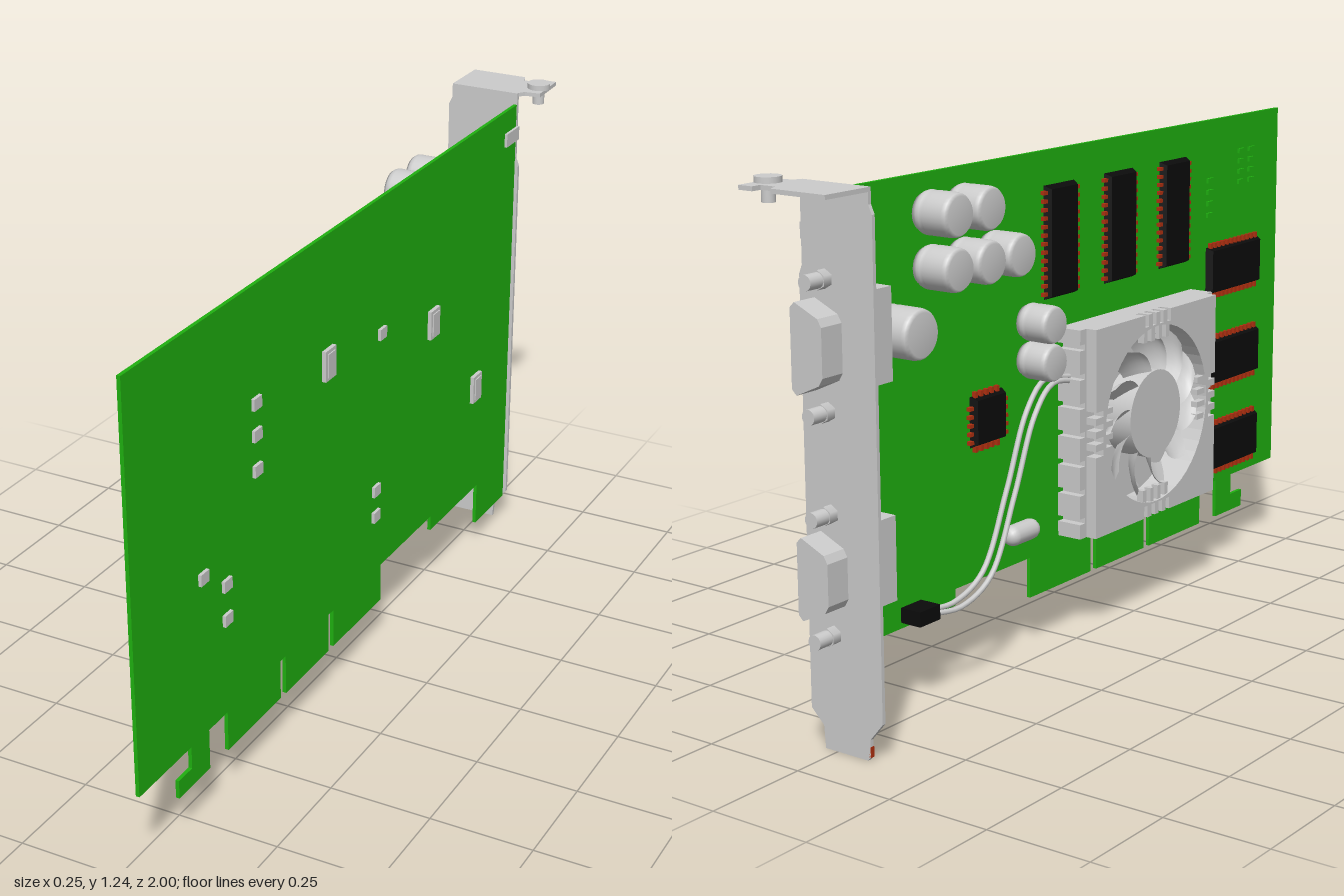
import * as THREE from 'three';
import { mergeGeometries } from 'three/addons/utils/BufferGeometryUtils.js';

const mat = (color = 0xcccccc) => new THREE.MeshStandardMaterial({ color, side: THREE.DoubleSide });
const grey = mat(), green = mat(0x1fb010), black = mat(0x0b0b0b), red = mat(0xb03010);

const box = (x, y, z, w, h, d) => new THREE.BoxGeometry(w, h, d).translate(x, y, z);

// Extrude a (z, y) outline along x, from x0 to x1
function slab(points, x0, x1, holes = []) {
  const shape = new THREE.Shape(points.map(([z, y]) => new THREE.Vector2(-z, y)));
  for (const [z, y, r] of holes) shape.holes.push(new THREE.Path().absarc(-z, y, r, 0, Math.PI * 2, true));
  return new THREE.ExtrudeGeometry(shape, { depth: x1 - x0, bevelEnabled: false, curveSegments: 24 })
    .rotateY(Math.PI / 2).translate(x0, 0, 0);
}

// Extrude an (x, y) outline along z, from z0 to z1
function plate(points, z0, z1) {
  const shape = new THREE.Shape(points.map(([x, y]) => new THREE.Vector2(x, y)));
  return new THREE.ExtrudeGeometry(shape, { depth: z1 - z0, bevelEnabled: false }).translate(0, 0, z0);
}

// Rectangle centred at (cz, cy) with slots cut into its edges
function notched(cz, cy, hw, hh, sides, ends, width, depth) {
  const half = [[hw, -hh]];
  for (const v of sides) half.push([hw, v - width / 2], [hw - depth, v - width / 2], [hw - depth, v + width / 2], [hw, v + width / 2]);
  half.push([hw, hh]);
  for (const v of ends) half.push([-v + width / 2, hh], [-v + width / 2, hh - depth], [-v - width / 2, hh - depth], [-v - width / 2, hh]);
  return [...half, ...half.map(([a, b]) => [-a, -b])].map(([a, b]) => [cz + a, cy + b]);
}

export function createModel() {
  const model = new THREE.Group();
  const add = (name, geometry, material = grey, parent = model) => {
    const mesh = new THREE.Mesh(geometry, material);
    mesh.name = name;
    parent.add(mesh);
    return mesh;
  };
  const group = (name) => {
    const g = new THREE.Group();
    g.name = name;
    model.add(g);
    return g;
  };

  // Circuit board with edge connector fingers
  add('circuitBoard', slab([
    [1, 1.195], [1, 0.225], [0.79, 0.225], [0.79, 0.17], [0.845, 0.17], [0.845, 0.125], [0.715, 0.125], [0.715, 0.225],
    [0.635, 0.225], [0.635, 0.125], [0.395, 0.125], [0.395, 0.225], [0.37, 0.225], [0.37, 0.125], [0.16, 0.125],
    [0.16, 0.225], [0.135, 0.225], [0.135, 0.125], [-0.115, 0.125], [-0.115, 0.225], [-0.4, 0.225], [-0.4, 0.185],
    [-0.685, 0.185], [-0.685, 0.07], [-0.865, 0.07], [-0.865, 1.195],
  ], 0.054, 0.063), green);

  // Chips: bevelled black body with rows of pins on the long sides
  function chip(name, z, y, w, h) {
    const g = group(name);
    const body = box(0, 0, 0, 0.018, h, w), p = body.attributes.position;
    for (let i = 0; i < p.count; i++) {
      if (p.getX(i) < 0) p.setXYZ(i, p.getX(i), p.getY(i) * (1 - 0.016 / h), p.getZ(i) * (1 - 0.016 / w));
    }
    body.computeVertexNormals();
    add('chipBody', body.translate(0.045, y, z), black, g);
    const pins = [], square = w === h;
    for (const s of [-1, 1]) {
      if (h >= w) for (let a = -h / 2 + 0.014; a < h / 2 - 0.008; a += 0.02) pins.push(box(0.049, y + a, z + s * (w / 2 + 0.004), 0.01, 0.009, 0.014));
      if (w > h || square) for (let a = -w / 2 + 0.014; a < w / 2 - 0.008; a += 0.02) pins.push(box(0.049, y + s * (h / 2 + 0.004), z + a, 0.01, 0.014, 0.009));
    }
    add('chipPins', mergeGeometries(pins), red, g);
  }
  for (const z of [0.005, 0.25, 0.49]) chip('uprightMemoryChip', z, 0.978, 0.12, 0.27);
  for (const y of [0.802, 0.557, 0.323]) chip('flatMemoryChip', 0.775, y, 0.25, 0.125);
  chip('controllerChip', -0.28, 0.605, 0.12, 0.12);

  // Can capacitors standing out from the board
  function capacitor(z, y, r, top) {
    const L = 0.054 - top;
    const profile = [[0, 0], [r * 0.85, 0], [r * 0.85, 0.007], [r * 0.95, 0.009], [r, 0.016], [r, 0.024], [r * 0.95, 0.029],
      [r, 0.034], [r, L - 0.016], [r * 0.96, L - 0.007], [r * 0.85, L], [0, L]];
    add('capacitor', new THREE.LatheGeometry(profile.map(([a, b]) => new THREE.Vector2(a, b)), 28)
      .rotateZ(Math.PI / 2).translate(0.054, y, z));
  }
  for (const [z, y] of [[-0.49, 1.11], [-0.375, 1.11], [-0.49, 0.99], [-0.375, 0.99], [-0.265, 0.99]]) capacitor(z, y, 0.05, -0.047);
  capacitor(-0.635, 0.875, 0.057, -0.058);
  for (const y of [0.805, 0.715]) capacitor(-0.125, y, 0.045, -0.035);

  // Heat sink: slotted base, open cover and floor
  const cz = 0.262, cy = 0.519, hub = [cz, cy, 0.222];
  const sink = group('heatSink');
  const teeth = [-3, -2, -1, 0, 1, 2, 3].map((i) => i * 0.071);
  const vents = [-0.048, -0.016, 0.016, 0.048];
  add('sinkBase', slab(notched(cz, cy, 0.288, 0.256, teeth, [], 0.014, 0.02), -0.03, 0.035, [hub]), grey, sink);
  add('sinkCover', slab(notched(cz, cy, 0.262, 0.256, vents, vents, 0.015, 0.03), -0.058, -0.03, [hub]), grey, sink);
  add('sinkFloor', box(0.035, cy, cz, 0.012, 0.5, 0.52), grey, sink);
  // Short vent ribs that reach from the cover into the fan opening
  const ribs = [];
  for (let k = 0; k < 4; k++) {
    for (const v of vents) ribs.push(box(-0.045, 0.206, v, 0.018, 0.04, 0.014).rotateX(k * Math.PI / 2).translate(0, cy, cz));
  }
  add('ventRibs', mergeGeometries(ribs), grey, sink);

  // Fan with swept blades
  const fan = group('fan');
  add('fanHub', new THREE.CylinderGeometry(0.11, 0.11, 0.075, 36).rotateZ(Math.PI / 2).translate(-0.015, cy, cz), grey, fan);
  const blades = [], count = 11;
  for (let k = 0; k < count; k++) {
    const blade = new THREE.PlaneGeometry(1, 1, 6, 5), p = blade.attributes.position;
    for (let i = 0; i < p.count; i++) {
      const u = p.getX(i) + 0.5, v = p.getY(i) + 0.5;
      const r = 0.105 + u * (0.108 - 0.02 * (2 * v - 1) ** 2);
      const a = k / count * Math.PI * 2 + 0.42 * v + 0.35 * u * u;
      p.setXYZ(i, -0.05 + 0.055 * v, cy + r * Math.sin(a), cz + r * Math.cos(a));
    }
    blade.computeVertexNormals();
    blades.push(blade);
  }
  add('fanBlades', mergeGeometries(blades), grey, fan);

  // Fan cable and its plug
  add('fanPlug', box(0.025, 0.217, -0.56, 0.055, 0.035, 0.07), black);
  for (const s of [-1, 1]) {
    const path = [[0.015, 0.217, -0.54], [0, 0.215, -0.46], [-0.005, 0.26, -0.36], [0, 0.43, -0.26], [0.005, 0.6, -0.175], [0.01, 0.66, -0.1], [0.01, 0.65, 0]]
      .map(([x, y, z]) => new THREE.Vector3(x + s * 0.005, y + s * 0.006, z - s * 0.009));
    add('fanWire', new THREE.TubeGeometry(new THREE.CatmullRomCurve3(path), 40, 0.0065, 8));
  }

  // Crystal can lying on the board
  add('crystal', new THREE.CapsuleGeometry(0.025, 0.065, 6, 16).rotateX(Math.PI / 2).translate(0.03, 0.31, -0.18));

  // Small components on both faces
  const small = [[0.49, 0.925], [0.49, 0.85], [0.49, 0.765], [-0.105, 0.856], [0.725, 0.615], [0.63, 0.55], [0.63, 0.465], [-0.08, 0.45], [-0.08, 0.38]];
  for (const [z, y] of small) add('rearComponent', box(0.066, y, z, 0.01, 0.028, 0.033));
  for (const [z, y] of [[0.163, 0.886], [-0.385, 0.775], [-0.65, 0.49]]) {
    add('rearRegulator', box(0.067, y, z, 0.012, 0.075, 0.05));
    add('rearRegulatorCap', box(0.072, y, z, 0.008, 0.058, 0.034));
  }
  const resistors = [];
  for (let i = 0; i < 4; i++) {
    for (const z of [0.81, 0.86]) resistors.push(box(0.051, 1.02 + i * 0.027, z, 0.008, 0.012, 0.024));
    resistors.push(box(0.051, 0.95 + i * 0.03, 0.66, 0.008, 0.012, 0.024));
  }
  add('resistors', mergeGeometries(resistors), green);

  // Mounting bracket with bent top flange
  const bracket = group('mountingBracket');
  add('bracketPlate', plate([
    [-0.127, 0.09], [-0.092, 0.048], [-0.092, 0.008], [-0.084, 0], [0.034, 0], [0.038, 0.052], [0.072, 0.085],
    [0.072, 1.03], [0.064, 1.05], [0.064, 1.225], [-0.118, 1.225], [-0.118, 1.19], [-0.127, 1.17],
  ], -0.873, -0.864), grey, bracket);
  add('bracketFlange', plate([
    [-0.118, 0.864], [0.06, 0.864], [0.075, 0.885], [0.115, 0.89], [0.112, 1], [0.075, 1], [0.075, 0.975],
    [0.035, 0.975], [0.025, 1], [-0.118, 1],
  ], 1.215, 1.225).rotateX(-Math.PI / 2).applyMatrix4(new THREE.Matrix4()), grey, bracket);
  add('boardTab', box(0.059, 1.12, -0.832, 0.022, 0.035, 0.075), grey, bracket);
  add('bracketTip', box(-0.091, 0.02, -0.868, 0.005, 0.024, 0.01), red, bracket);
  add('screwHead', new THREE.CylinderGeometry(0.029, 0.029, 0.014, 24).translate(0.092, 1.231, -0.935), grey, bracket);
  add('screwShank', new THREE.CylinderGeometry(0.015, 0.015, 0.04, 20).translate(0.092, 1.204, -0.935), grey, bracket);

  // Video sockets: tapered shell outside, housing inside, jack nuts above and below
  for (const [y, h] of [[0.888, 0.195], [0.396, 0.182]]) {
    const g = group('videoSocket'), t = h / 2;
    add('socketShell', plate([
      [0.044, y - t + 0.012], [0.044, y + t - 0.012], [0.032, y + t], [-0.03, y + t - 0.028], [-0.04, y + t - 0.045],
      [-0.04, y - t + 0.045], [-0.03, y - t + 0.028], [0.032, y - t],
    ], -0.935, -0.865), grey, g);
    add('socketFlange', box(0.003, y, -0.857, 0.075, 0.315, 0.014), grey, g);
    add('socketHousing', box(0.01, y, -0.782, 0.085, h + 0.01, 0.15), grey, g);
    for (const s of [-1, 1]) {
      const jy = y + s * (t + 0.042);
      add('jackNut', new THREE.CylinderGeometry(0.021, 0.021, 0.025, 6).rotateX(Math.PI / 2).translate(0.002, jy, -0.884), grey, g);
      add('jackPost', new THREE.CylinderGeometry(0.017, 0.017, 0.12, 18).rotateX(Math.PI / 2).translate(0.002, jy, -0.875), grey, g);
    }
  }
  return model;
}
